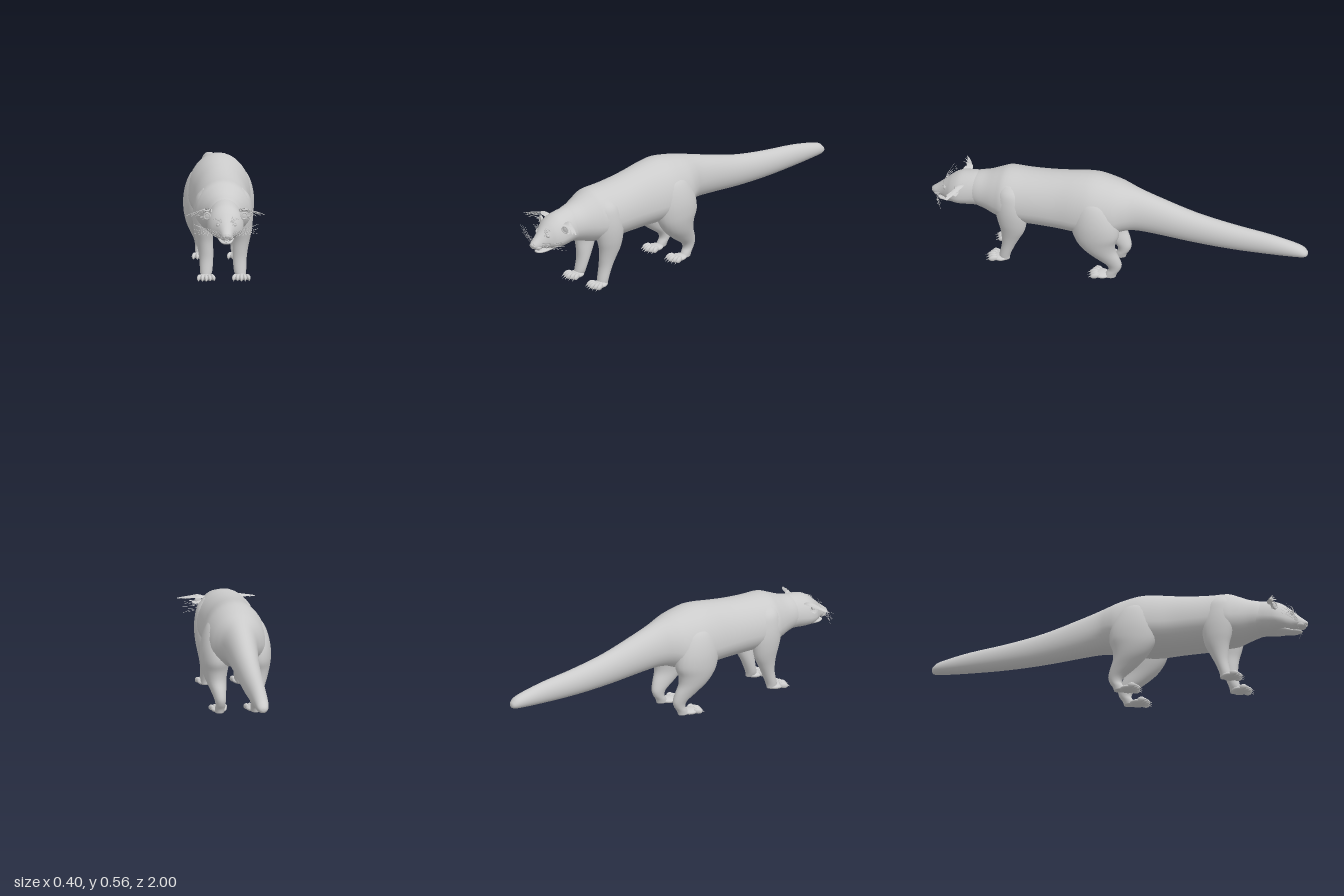
import * as THREE from 'three';

const mat = new THREE.MeshStandardMaterial({ color: 0xcccccc, roughness: 0.8 });
const thinMat = new THREE.MeshStandardMaterial({ color: 0xcccccc, side: THREE.DoubleSide });
const V = (x, y, z) => new THREE.Vector3(x, y, z);

function mesh(name, geometry, parent, material = mat) {
  const m = new THREE.Mesh(geometry, material);
  m.name = name;
  parent.add(m);
  return m;
}

// Smoothed rows: Catmull-Rom on every column.
function smoothRows(rows, steps) {
  const out = [];
  for (let i = 0; i < rows.length - 1; i++) {
    const a = rows[Math.max(i - 1, 0)], b = rows[i], c = rows[i + 1];
    const d = rows[Math.min(i + 2, rows.length - 1)];
    for (let s = 0; s < steps; s++) {
      const t = s / steps;
      out.push(b.map((v, k) => v + 0.5 * t * (c[k] - a[k]
        + t * (2 * a[k] - 5 * v + 4 * c[k] - d[k] + t * (3 * (v - c[k]) + d[k] - a[k])))));
    }
  }
  out.push(rows[rows.length - 1]);
  return out;
}

// Loft of rounded sections; row = [position, uLow, uHigh, vLow, vHigh, height of widest point].
// axis 'z': u = x, v = y; axis 'y': u = z, v = x.
function loft(rows, axis, steps = 4, sides = 32) {
  const rings = smoothRows(rows, steps);
  const flat = ([p, a, b, c, d, m]) => [p, (a + b) / 2, (a + b) / 2, c + (d - c) * m, c + (d - c) * m, m];
  rings.unshift(flat(rings[0]));
  rings.push(flat(rings[rings.length - 1]));
  const pos = [], index = [];
  rings.forEach(([p, u0, u1, v0, v1, m], i) => {
    for (let j = 0; j < sides; j++) {
      const t = (j / sides) * Math.PI * 2, s = Math.sin(t), mid = v0 + (v1 - v0) * m;
      const u = (u0 + u1) / 2 + Math.cos(t) * (u1 - u0) / 2;
      const v = mid + s * (s > 0 ? v1 - mid : mid - v0);
      pos.push(...(axis === 'z' ? [u, v, p] : [v, p, u]));
      if (i < rings.length - 1) {
        const A = i * sides + j, B = i * sides + (j + 1) % sides;
        index.push(A, B, B + sides, A, B + sides, A + sides);
      }
    }
  });
  const g = new THREE.BufferGeometry();
  g.setAttribute('position', new THREE.Float32BufferAttribute(pos, 3));
  g.setIndex(index);
  g.computeVertexNormals();
  return g;
}

// Symmetric section along z: [z, bottom, top, half width, widest height]
const trunk = rows => loft(rows.map(([z, lo, hi, w, m]) => [z, -w, w, lo, hi, m]), 'z');
// Limb section along y: [y, zBack, zFront, xInner, xOuter]
const limb = (rows, s) => loft(rows.map(([y, z0, z1, x0, x1]) =>
  [y, z0, z1, s > 0 ? x0 : -x1, s > 0 ? x1 : -x0, 0.5]), 'y', 4, 24);

function ball(name, parent, p, r, rot = [0, 0, 0]) {
  const m = mesh(name, new THREE.SphereGeometry(1, 20, 14), parent);
  m.position.set(...p);
  m.scale.set(...r);
  m.rotation.set(...rot);
  return m;
}

function cone(name, parent, from, to, r) {
  const d = to.clone().sub(from);
  const m = mesh(name, new THREE.ConeGeometry(r, d.length(), 8), parent);
  m.position.copy(from).addScaledVector(d, 0.5);
  m.quaternion.setFromUnitVectors(V(0, 1, 0), d.normalize());
}

function hair(name, parent, a, b, c, r = 0.0007) {
  mesh(name, new THREE.TubeGeometry(new THREE.QuadraticBezierCurve3(a, b, c), 8, r, 4), parent);
}

// Tapered flat strand whose width lies mostly along z
function strand(name, parent, a, b, c, w) {
  const curve = new THREE.QuadraticBezierCurve3(a, b, c);
  const g = new THREE.PlaneGeometry(1, 1, 8, 2), p = g.attributes.position;
  for (let i = 0; i < p.count; i++) {
    const t = p.getX(i) + 0.5, k = p.getY(i), q = curve.getPoint(t);
    const width = w * (0.5 + 1.2 * t * (1 - t) - 0.2 * t);
    p.setXYZ(i, q.x, q.y + k * width * 0.35 - k * k * 0.012, q.z + k * width);
  }
  g.computeVertexNormals();
  mesh(name, g, parent, thinMat);
}

// Paw with five toes and claws
function paw(name, parent, x, z, s) {
  const g = new THREE.Group();
  g.name = name;
  g.position.set(x * s, 0, z);
  parent.add(g);
  ball('palm', g, [0, 0.017, 0], [0.04, 0.016, 0.045]);
  for (let i = -2; i <= 2; i++) {
    const tx = i * 0.0175, tz = 0.04 - Math.abs(i) * 0.007, yaw = i * 0.16;
    ball('toe', g, [tx, 0.02, tz], [0.011, 0.015, 0.024], [0.25, yaw, 0]);
    cone('claw', g, V(tx + i * 0.001, 0.02, tz + 0.016), V(tx + i * 0.004, 0.006, tz + 0.038), 0.0045);
  }
}

export function createModel() {
  const root = new THREE.Group();
  root.name = 'animal';

  // Tail, rump, torso and neck in one sweep
  mesh('bodyAndTail', trunk([
    [-1, 0.288, 0.302, 0.007, 0.5], [-0.99, 0.278, 0.317, 0.022, 0.5], [-0.95, 0.271, 0.34, 0.034, 0.5],
    [-0.8, 0.26, 0.37, 0.043, 0.5], [-0.6, 0.253, 0.392, 0.053, 0.5], [-0.4, 0.257, 0.425, 0.062, 0.5],
    [-0.2, 0.272, 0.48, 0.077, 0.48], [-0.1, 0.278, 0.51, 0.092, 0.45], [-0.04, 0.272, 0.527, 0.118, 0.42],
    [0.02, 0.25, 0.543, 0.145, 0.38], [0.12, 0.235, 0.56, 0.162, 0.37], [0.2, 0.23, 0.556, 0.158, 0.37],
    [0.3, 0.229, 0.54, 0.146, 0.38], [0.4, 0.228, 0.525, 0.144, 0.4], [0.5, 0.228, 0.516, 0.145, 0.4],
    [0.59, 0.235, 0.512, 0.146, 0.4], [0.64, 0.243, 0.494, 0.128, 0.42], [0.7, 0.26, 0.468, 0.104, 0.45],
    [0.76, 0.275, 0.452, 0.088, 0.45], [0.8, 0.29, 0.43, 0.07, 0.45],
  ]), root);

  // Legs: the upper ends blend into the trunk
  for (const s of [1, -1]) {
    mesh('hindLeg', limb([
      [0.012, -0.005, 0.06, 0.07, 0.115], [0.035, -0.012, 0.045, 0.066, 0.116], [0.06, -0.028, 0.034, 0.064, 0.116],
      [0.09, -0.036, 0.05, 0.061, 0.122], [0.13, -0.026, 0.108, 0.056, 0.138], [0.18, -0.006, 0.166, 0.05, 0.16],
      [0.23, -0.008, 0.203, 0.04, 0.174], [0.28, -0.025, 0.222, 0.03, 0.181], [0.34, -0.02, 0.226, 0.03, 0.18],
      [0.4, 0, 0.218, 0.03, 0.168], [0.45, 0.03, 0.2, 0.04, 0.147], [0.48, 0.07, 0.17, 0.06, 0.12],
    ], s), root);
    mesh('foreLeg', limb([
      [0.012, 0.56, 0.62, 0.068, 0.114], [0.04, 0.556, 0.614, 0.056, 0.118], [0.1, 0.532, 0.602, 0.05, 0.121],
      [0.15, 0.507, 0.602, 0.049, 0.128], [0.2, 0.482, 0.607, 0.05, 0.139], [0.25, 0.47, 0.62, 0.045, 0.149],
      [0.31, 0.465, 0.632, 0.04, 0.154], [0.37, 0.475, 0.634, 0.04, 0.15], [0.43, 0.495, 0.625, 0.04, 0.135],
      [0.47, 0.53, 0.6, 0.06, 0.1],
    ], s), root);
    paw('hindPaw', root, 0.09, 0.07, s);
    paw('forePaw', root, 0.09, 0.612, s);
  }

  // Head and snout
  const head = new THREE.Group();
  head.name = 'head';
  root.add(head);
  mesh('skull', trunk([
    [0.7, 0.27, 0.455, 0.09, 0.4], [0.76, 0.272, 0.453, 0.089, 0.4], [0.81, 0.268, 0.446, 0.092, 0.38],
    [0.85, 0.267, 0.436, 0.092, 0.36], [0.885, 0.27, 0.415, 0.08, 0.36], [0.91, 0.274, 0.393, 0.062, 0.38],
    [0.935, 0.28, 0.37, 0.044, 0.4], [0.96, 0.283, 0.347, 0.033, 0.4], [0.98, 0.285, 0.33, 0.026, 0.42],
    [0.992, 0.29, 0.32, 0.018, 0.5],
  ]), head);
  mesh('lowerJaw', trunk([
    [0.83, 0.268, 0.3, 0.05, 0.6], [0.88, 0.261, 0.29, 0.043, 0.6], [0.92, 0.256, 0.276, 0.033, 0.6],
    [0.95, 0.256, 0.271, 0.023, 0.6], [0.966, 0.262, 0.27, 0.012, 0.5],
  ]), head);
  ball('nose', head, [0, 0.308, 0.987], [0.015, 0.013, 0.013]);
  ball('tongue', head, [0, 0.272, 0.935], [0.014, 0.004, 0.026]);

  for (const s of [1, -1]) {
    ball('nostril', head, [s * 0.013, 0.305, 0.986], [0.008, 0.009, 0.01]);
    ball('muzzlePad', head, [s * 0.016, 0.296, 0.963], [0.017, 0.014, 0.022]);
    ball('eye', head, [s * 0.04, 0.353, 0.92], [0.012, 0.01, 0.01]);
    const lid = mesh('eyelid', new THREE.TorusGeometry(0.012, 0.0025, 8, 20), head);
    lid.position.set(s * 0.041, 0.353, 0.925);
    lid.rotation.y = s * 0.75;

    // Round ear: shallow cup with a rolled rim
    ball('ear', head, [s * 0.094, 0.385, 0.845], [0.019, 0.02, 0.008], [0, s * 0.35, 0]);
    const rim = mesh('earRim', new THREE.TorusGeometry(0.016, 0.0045, 8, 24), head);
    rim.position.set(s * 0.094, 0.385, 0.85);
    rim.rotation.y = s * 0.35;

    // Teeth
    for (let i = 0; i < 3; i++) {
      const x = s * (0.004 + i * 0.006), z = 0.972 - i * 0.008, l = i === 2 ? 0.013 : 0.006;
      cone('upperTooth', head, V(x, 0.288, z), V(x, 0.288 - l, z), 0.0028);
      cone('lowerTooth', head, V(x * 0.8, 0.266, z - 0.014), V(x * 0.8, 0.268 + l, z - 0.014), 0.0025);
    }

    // Ear tufts, sweeping outwards and forwards
    for (let i = 0; i < 6; i++) {
      const f = i / 5, reach = 0.2 - 0.022 * Math.abs(i - 2);
      strand('earTuft', head, V(s * 0.06, 0.402 + 0.008 * f, 0.835 - 0.02 * f),
        V(s * 0.11, 0.418 + 0.016 * f, 0.82 - 0.012 * f),
        V(s * reach, 0.39 + 0.012 * f, 0.878 - 0.02 * f), 0.026);
    }
    for (let i = 0; i < 3; i++) {
      strand('lowerTuft', head, V(s * 0.08, 0.375 + i * 0.006, 0.84),
        V(s * 0.1, 0.38, 0.835), V(s * (0.118 + i * 0.012), 0.366 + i * 0.011, 0.845), 0.018);
    }

    // Whiskers and brow hairs
    for (let i = 0; i < 9; i++) {
      const f = i / 8, reach = 0.165 - 0.025 * ((i * 3) % 4) / 3;
      hair('whisker', head, V(s * 0.022, 0.298 + 0.02 * f, 0.962 - 0.008 * (i % 3)),
        V(s * 0.08, 0.305 + 0.028 * f, 0.955), V(s * reach, 0.306 + 0.052 * f, 0.905 + 0.012 * (i % 3)));
    }
    for (let i = 0; i < 4; i++) {
      hair('browHair', head, V(s * (0.022 + i * 0.004), 0.366, 0.93), V(s * (0.026 + i * 0.007), 0.385, 0.932),
        V(s * (0.034 + i * 0.012), 0.397 - i * 0.004, 0.922), 0.001);
    }
  }
  return root;
}
